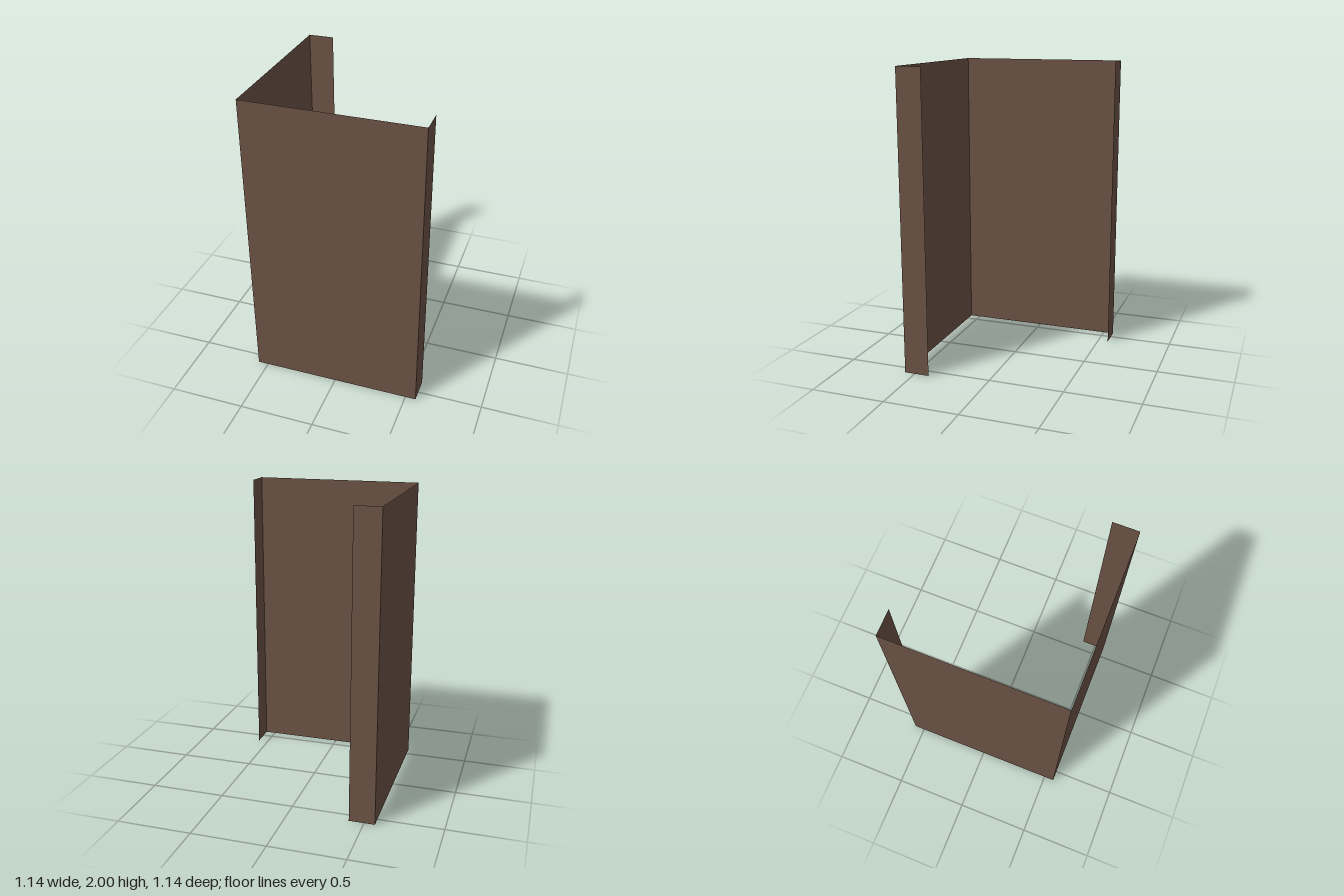
import * as THREE from 'three';

export function createModel() {
  const model = new THREE.Group();
  model.name = 'cornerPanel';

  const brown = new THREE.MeshStandardMaterial({ color: 0x6b5244, side: THREE.DoubleSide });
  brown.name = 'brown';

  const H = 2, R = 0.57, LIP = 0.17;

  // Upright sheet, centred at (x, z), turned about y
  function sheet(name, width, x, z, turn) {
    const mesh = new THREE.Mesh(new THREE.PlaneGeometry(width, H), brown);
    mesh.name = name;
    mesh.position.set(x, H / 2, z);
    mesh.rotation.y = turn;
    model.add(mesh);
  }

  // Two full walls meeting at the front corner
  sheet('frontWall', 2 * R, 0, R, 0);
  sheet('sideWall', 2 * R, -R, 0, -Math.PI / 2);

  // Narrow return lips on the free ends
  sheet('frontWallLip', LIP, R, R - LIP / 2, Math.PI / 2);
  sheet('sideWallLip', LIP, -R + LIP / 2, -R, Math.PI);

  return model;
}
